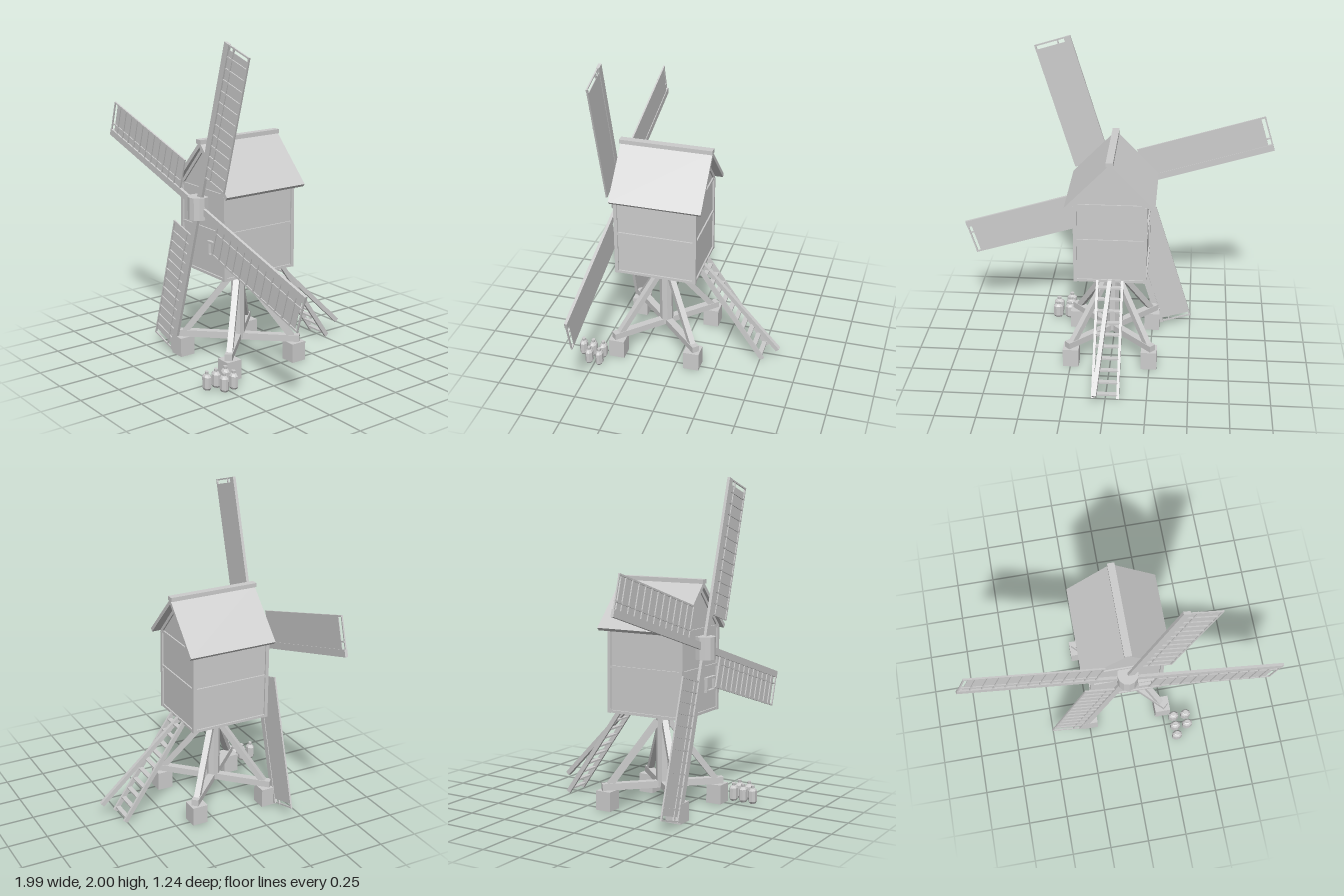
import * as THREE from 'three';

const grey = new THREE.MeshStandardMaterial({ color: 0xcccccc });
grey.name = 'plain grey';
const clothGrey = grey.clone();
clothGrey.name = 'sailcloth grey';
clothGrey.side = THREE.DoubleSide;

const CZ = 0.14; // centre of the mill body along z
const HUB_Y = 1.005;
const SAIL_Z = 0.425;

function add(parent, name, geometry, x = 0, y = 0, z = 0, material = grey) {
  const mesh = new THREE.Mesh(geometry, material);
  mesh.name = name;
  mesh.position.set(x, y, z);
  parent.add(mesh);
  return mesh;
}

function box(parent, name, w, h, d, x, y, z) {
  return add(parent, name, new THREE.BoxGeometry(w, h, d), x, y, z);
}

// Square timber running from point a to point b
function beam(parent, name, a, b, w, h) {
  const from = new THREE.Vector3(...a), to = new THREE.Vector3(...b);
  const mesh = box(parent, name, w, h, from.distanceTo(to), 0, 0, 0);
  mesh.position.copy(from).add(to).multiplyScalar(0.5);
  mesh.lookAt(to);
  return mesh;
}

// Outline in x and y, extruded along z between z0 and z1
function prism(parent, name, points, z0, z1) {
  const shape = new THREE.Shape(points.map(p => new THREE.Vector2(...p)));
  const geo = new THREE.ExtrudeGeometry(shape, { depth: z1 - z0, bevelEnabled: false });
  return add(parent, name, geo, 0, 0, z0);
}

function group(parent, name) {
  const g = new THREE.Group();
  g.name = name;
  parent.add(g);
  return g;
}

function buildTrestle(root) {
  const g = group(root, 'trestle');
  const post = new THREE.CylinderGeometry(0.043, 0.043, 0.48, 8).rotateY(Math.PI / 8).toNonIndexed();
  post.computeVertexNormals();
  add(g, 'mainPost', post, 0, 0.37, CZ);
  for (const s of [1, -1]) {
    const e = 0.27;
    beam(g, 'crossBeam', [-e, 0.142, CZ - s * e], [e, 0.142, CZ + s * e], 0.045, 0.042);
    for (const t of [1, -1]) {
      box(g, 'footBlock', 0.1, 0.12, 0.1, s * 0.247, 0.062, CZ + t * 0.245);
      beam(g, 'brace', [s * 0.025, 0.535, CZ + t * 0.025], [s * 0.237, 0.15, CZ + t * 0.237], 0.036, 0.036);
    }
  }
}

function buildHouse(root) {
  const g = group(root, 'house');
  const zb = -0.105, zf = 0.39;
  prism(g, 'walls', [[-0.215, 0.605], [0.215, 0.605], [0.215, 1.12], [0, 1.35], [-0.215, 1.12]], zb, zf);
  for (const s of [1, -1]) {
    for (const z of [zb, zf]) box(g, 'cornerPost', 0.022, 0.51, 0.022, s * 0.214, 0.85, z);
    for (const y of [0.605, 0.876, 1.1]) box(g, 'sideRail', 0.018, 0.016, zf - zb, s * 0.216, y, CZ);
    for (const z of [zb, zf]) beam(g, 'gableRafter', [s * 0.22, 1.105, z], [0, 1.345, z], 0.018, 0.02);
  }
  for (const z of [zb, zf])
    for (const y of [0.605, 0.876, 1.11]) box(g, 'endRail', 0.43, 0.016, 0.018, 0, y, z);

  // Window frame with sill on the front wall
  const w = group(g, 'window');
  for (const x of [0.068, 0.162]) box(w, 'windowJamb', 0.014, 0.09, 0.02, x, 0.765, 0.4);
  for (const y of [0.727, 0.806]) box(w, 'windowRail', 0.112, 0.014, 0.022, 0.115, y, 0.4);

  // Roof
  prism(g, 'roof', [[0, 1.395], [-0.273, 1.113], [-0.257, 1.096], [0, 1.362], [0.257, 1.096], [0.273, 1.113]], -0.157, 0.415);
  box(g, 'ridgeCap', 0.044, 0.026, 0.58, 0, 1.396, 0.131);
}

function buildSails(root) {
  const g = group(root, 'sails');
  g.position.set(0, HUB_Y, SAIL_Z);
  const hub = new THREE.CylinderGeometry(0.064, 0.064, 0.135, 12).toNonIndexed();
  hub.computeVertexNormals();
  add(g, 'hub', hub);
  for (let i = 0; i < 4; i++) {
    const s = group(g, 'sail');
    s.rotation.z = THREE.MathUtils.degToRad(-17 + 90 * i);
    box(s, 'stock', 0.042, 1.036, 0.018, 0, 0.518, 0);
    add(s, 'cloth', new THREE.BoxGeometry(0.19, 0.8, 0.004), 0.113, 0.605, -0.003, clothGrey);
    box(s, 'outerBar', 0.01, 0.832, 0.01, 0.206, 0.62, 0);
    box(s, 'innerBar', 0.008, 0.832, 0.01, 0.064, 0.62, 0);
    for (let k = 0; k <= 12; k++) box(s, 'crossBar', 0.192, 0.009, 0.008, 0.115, 0.208 + k * 0.0686, 0.002);
  }
}

function buildLadder(root) {
  const g = group(root, 'ladder');
  const top = [0.605, -0.108], foot = [0.013, -0.515];
  for (const s of [1, -1])
    beam(g, 'ladderRail', [s * 0.077, ...top], [s * 0.077, ...foot], 0.016, 0.028);
  for (let i = 0; i < 10; i++) {
    const t = (i + 0.6) / 10;
    box(g, 'tread', 0.15, 0.01, 0.03, 0,
      THREE.MathUtils.lerp(top[0], foot[0], t), THREE.MathUtils.lerp(top[1], foot[1], t));
  }
  beam(root, 'tailPole', [0, 0.605, -0.1], [0.058, 0.09, -0.612], 0.026, 0.028);
}

function buildSacks(root) {
  const g = group(root, 'sacks');
  // Eight-sided bag with bevelled ends and a tied neck
  const profile = [[0, 0.008], [0.024, 0.008], [0.034, 0.022], [0.034, 0.088], [0.023, 0.1],
    [0.013, 0.104], [0.015, 0.12], [0, 0.12]].map(p => new THREE.Vector2(...p));
  const geo = new THREE.LatheGeometry(profile, 8).rotateY(Math.PI / 8).scale(1, 1, 0.74).toNonIndexed();
  geo.computeVertexNormals();
  for (const [x, z] of [[0.315, 0.465], [0.396, 0.465], [0.315, 0.532], [0.396, 0.532], [0.315, 0.597]])
    add(g, 'sack', geo, x, 0, z);
}

export function createModel() {
  const root = new THREE.Group();
  root.name = 'postMill';
  buildTrestle(root);
  buildHouse(root);
  buildSails(root);
  buildLadder(root);
  buildSacks(root);
  return root;
}
